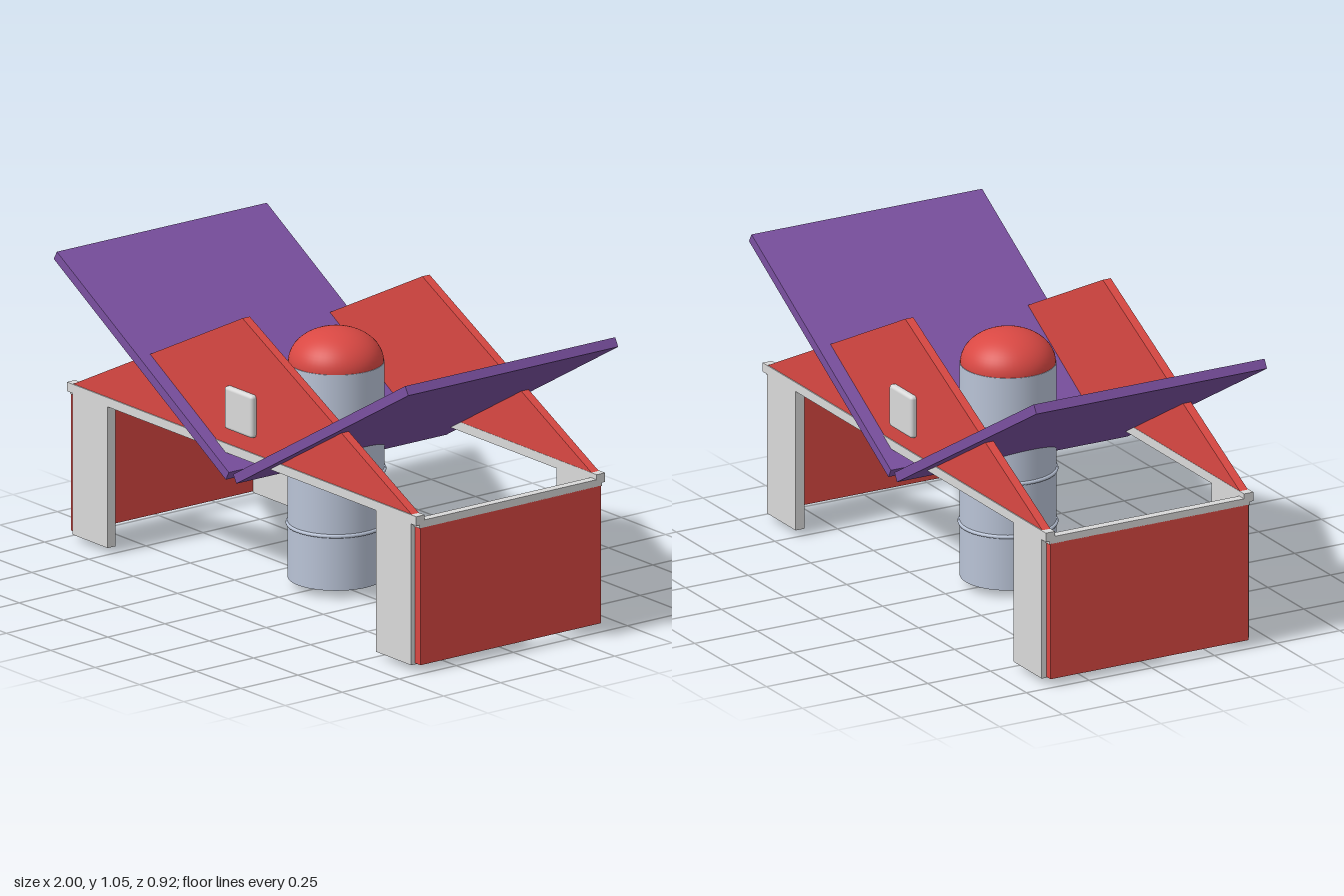
import * as THREE from 'three';
import { RoundedBoxGeometry } from 'three/addons/geometries/RoundedBoxGeometry.js';

const mat = (name, color) => {
  const m = new THREE.MeshStandardMaterial({ color });
  m.name = name;
  return m;
};

export function createModel() {
  const red = mat('red', 0xd94843);
  const grey = mat('light grey', 0xd9d9d9);
  const purple = mat('purple', 0x7a50a0);
  const steel = mat('blue grey steel', 0xb9c3d6);
  const brown = mat('brown', 0xa8621c);
  const model = new THREE.Group();

  const add = (name, geometry, material, x = 0, y = 0, z = 0) => {
    const mesh = new THREE.Mesh(geometry, material);
    mesh.name = name;
    mesh.position.set(x, y, z);
    model.add(mesh);
    return mesh;
  };
  // Box given by its two opposite corners
  const box = (name, material, x0, x1, y0, y1, z0, z1) =>
    add(name, new THREE.BoxGeometry(Math.abs(x1 - x0), y1 - y0, Math.abs(z1 - z0)), material,
      (x0 + x1) / 2, (y0 + y1) / 2, (z0 + z1) / 2);

  // Triangular gable profile
  const gable = new THREE.Shape();
  gable.moveTo(-0.96, 0.565);
  gable.lineTo(0.96, 0.565);
  gable.lineTo(0, 1.043);
  gable.closePath();
  const gableGeometry = new THREE.ExtrudeGeometry(gable, { depth: 0.032, bevelEnabled: false });
  gableGeometry.translate(0, 0, -0.016);

  // Front and back frames: beam, gable, plaque and legs
  for (const s of [1, -1]) {
    box('longBeam', grey, -0.985, 0.985, 0.535, 0.568, s * 0.377, s * 0.414);
    add('gable', gableGeometry, red, 0, 0, s * 0.394);
    add('plaque', new RoundedBoxGeometry(0.158, 0.155, 0.03, 2, 0.012), grey, 0, 0.705, s * 0.417);
    for (const t of [1, -1])
      box('leg', grey, t * 0.757, t * 0.955, 0.022, 0.54, s * 0.378, s * 0.413);
  }

  // Side walls, cross beams and V-shaped roof panels
  for (const t of [1, -1]) {
    box('sideWall', red, t * 0.955, t * 0.985, 0.026, 0.525, -0.395, 0.395);
    box('crossBeam', grey, t * 0.952, t * 0.985, 0.523, 0.55, -0.4, 0.4);
    const panel = add('roofPanel', new THREE.BoxGeometry(1.12, 0.035, 0.92), purple, t * 0.506, 0.755, 0);
    panel.rotation.z = t * Math.PI / 6;
  }

  // Central drum with ribs, domed top and bottom nozzle
  add('drum', new THREE.CylinderGeometry(0.168, 0.168, 0.782, 48), steel, 0, 0.419, 0);
  for (const y of [0.225, 0.42, 0.615]) {
    const rib = add('drumRib', new THREE.TorusGeometry(0.168, 0.007, 8, 48), steel, 0, y, 0);
    rib.rotation.x = Math.PI / 2;
  }
  const dome = add('drumDome',
    new THREE.SphereGeometry(0.166, 48, 16, 0, Math.PI * 2, 0, Math.PI / 2), red, 0, 0.81, 0);
  dome.scale.y = 0.72;
  const nozzle = add('bottomNozzle',
    new THREE.SphereGeometry(0.075, 32, 16), brown, 0, 0.028, 0);
  nozzle.scale.y = 0.37;

  return model;
}
